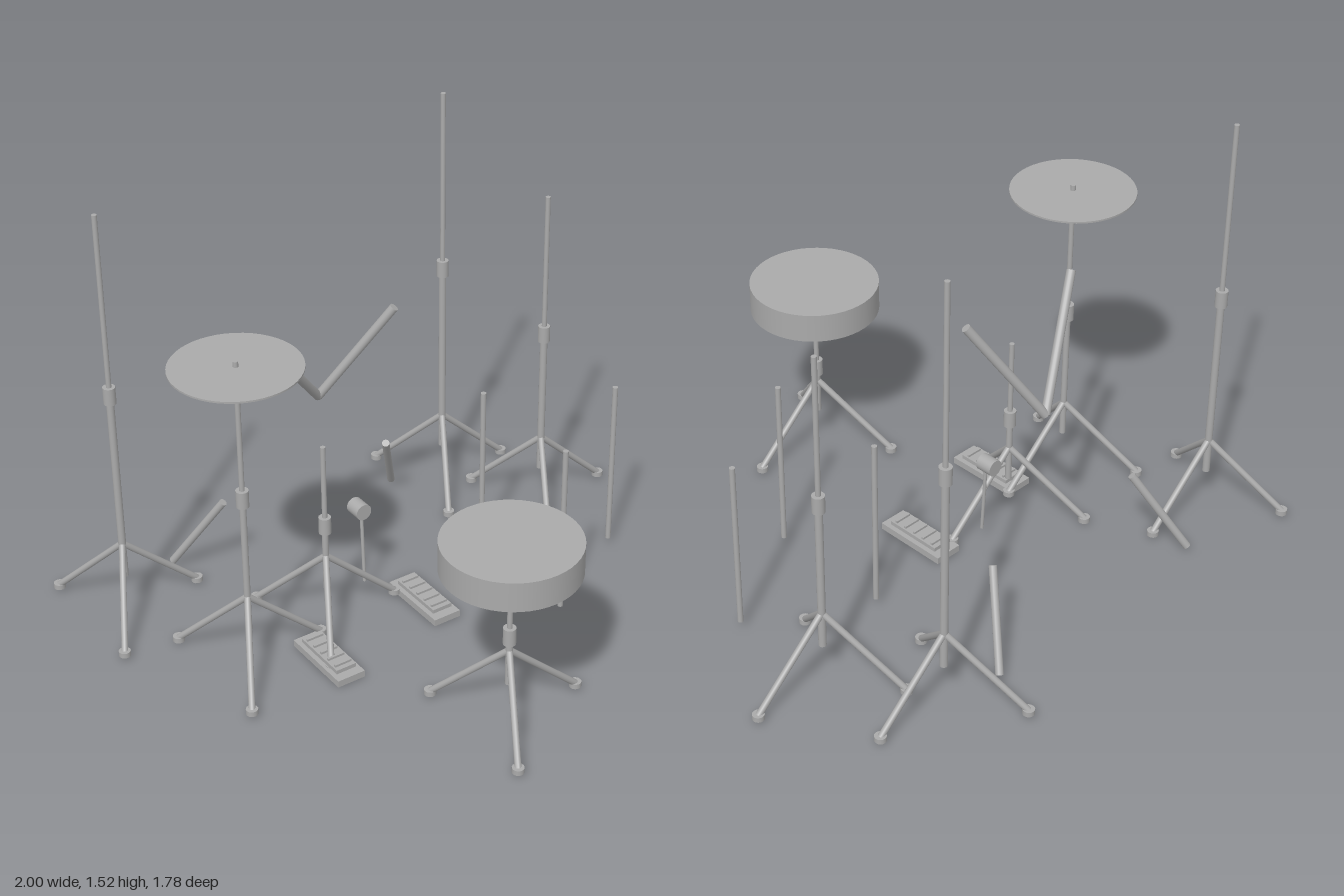
import * as THREE from 'three';

export function createModel() {
  const model = new THREE.Group();
  const grey = new THREE.MeshStandardMaterial({ color: 0xaaaaaa });
  grey.name = 'hardwareGrey';
  const v = (x, y, z) => new THREE.Vector3(x, y, z);
  const UP = v(0, 1, 0);

  const add = (parent, name, geometry, x = 0, y = 0, z = 0) => {
    const mesh = new THREE.Mesh(geometry, grey);
    mesh.name = name;
    mesh.position.set(x, y, z);
    parent.add(mesh);
    return mesh;
  };
  const group = (name, x = 0, z = 0) => {
    const g = new THREE.Group();
    g.name = name;
    g.position.set(x, 0, z);
    model.add(g);
    return g;
  };
  // Round bar between two points
  const bar = (parent, name, a, b, r, sides = 16) => {
    const d = b.clone().sub(a);
    const m = add(parent, name, new THREE.CylinderGeometry(r, r, d.length(), sides));
    m.position.copy(a).addScaledVector(d, 0.5);
    m.quaternion.setFromUnitVectors(UP, d.normalize());
    return m;
  };

  // Tripod: thick lower tube, collar, thin upper rod, three footed legs
  const tripod = (name, x, z, collarY, top, r = 0.013) => {
    const g = group(name, x, z);
    bar(g, 'lowerTube', v(0, 0.142, 0), v(0, collarY, 0), r);
    bar(g, 'upperRod', v(0, collarY, 0), v(0, top, 0), 0.0088);
    bar(g, 'collar', v(0, collarY - 0.03, 0), v(0, collarY + 0.03, 0), 0.021, 20);
    for (let i = 0; i < 3; i++) {
      const a = i * Math.PI * 2 / 3;
      const fx = 0.27 * Math.cos(a), fz = 0.27 * Math.sin(a);
      bar(g, 'leg', v(0, 0.27, 0), v(fx, 0.022, fz), 0.011, 12);
      add(g, 'foot', new THREE.CylinderGeometry(0.02, 0.02, 0.018, 16), fx, 0.02, fz);
    }
    return g;
  };
  tripod('rightCymbalStand', -0.845, -0.57, 0.84, 1.476);
  tripod('leftTallStand', 0.505, -0.64, 0.868, 1.525);
  tripod('leftShortStand', 0.705, -0.31, 0.692, 1.216);
  tripod('snareStand', -0.33, -0.122, 0.392, 0.69, 0.011);

  // Hi-hat with one flat cymbal
  const hihat = tripod('hiHatStand', -0.66, -0.072, 0.645, 1.137, 0.011);
  add(hihat, 'cymbal', new THREE.CylinderGeometry(0.21, 0.21, 0.006, 48), 0, 1.115, 0);

  // Throne with round seat
  const throne = tripod('throne', -0.142, 0.635, 0.326, 0.6, 0.012);
  add(throne, 'seat', new THREE.CylinderGeometry(0.223, 0.223, 0.103, 48), 0, 0.628, 0);

  // Floor tom legs
  const tomLegs = group('floorTomLegs');
  for (const [x, z] of [[0.341, -0.168], [0.341, 0.282], [0.73, 0.056]])
    bar(tomLegs, 'tomLeg', v(x, 0.03, z), v(x, 0.642, z), 0.0095);

  // V-shaped tom arms
  const arms = group('tomArms');
  const joint = v(-0.142, 0.66, -0.445);
  bar(arms, 'rightArm', joint, v(-0.42, 1.005, -0.285), 0.0155);
  bar(arms, 'leftArm', joint, v(0.06, 1.005, -0.285), 0.0155);

  // Bass drum spurs
  const spurs = group('bassDrumSpurs');
  for (const s of [-1, 1])
    bar(spurs, 'spur', v(-0.137 + s * 0.332, 0.303, -0.547), v(-0.137 + s * 0.457, 0.025, -0.703), 0.0135);

  // Foot pedals: base, raised footboard, grip bars
  const pedal = (name, x, z) => {
    const g = group(name, x, z);
    add(g, 'base', new THREE.BoxGeometry(0.102, 0.024, 0.27), 0, 0.014, 0);
    add(g, 'footboard', new THREE.BoxGeometry(0.074, 0.014, 0.21), 0, 0.037, 0);
    for (let i = -2; i <= 2; i++)
      add(g, 'gripBar', new THREE.BoxGeometry(0.062, 0.008, 0.008), 0, 0.048, i * 0.042);
  };
  pedal('hiHatPedal', -0.444, 0.064);
  pedal('bassPedal', 0, -0.028);

  // Bass drum beater
  const beater = group('beater', -0.142, 0);
  bar(beater, 'beaterRod', v(0, 0.06, -0.18), v(0, 0.33, -0.193), 0.006, 12);
  bar(beater, 'beaterHead', v(0, 0.338, -0.176), v(0, 0.338, -0.236), 0.029, 24);

  return model;
}
